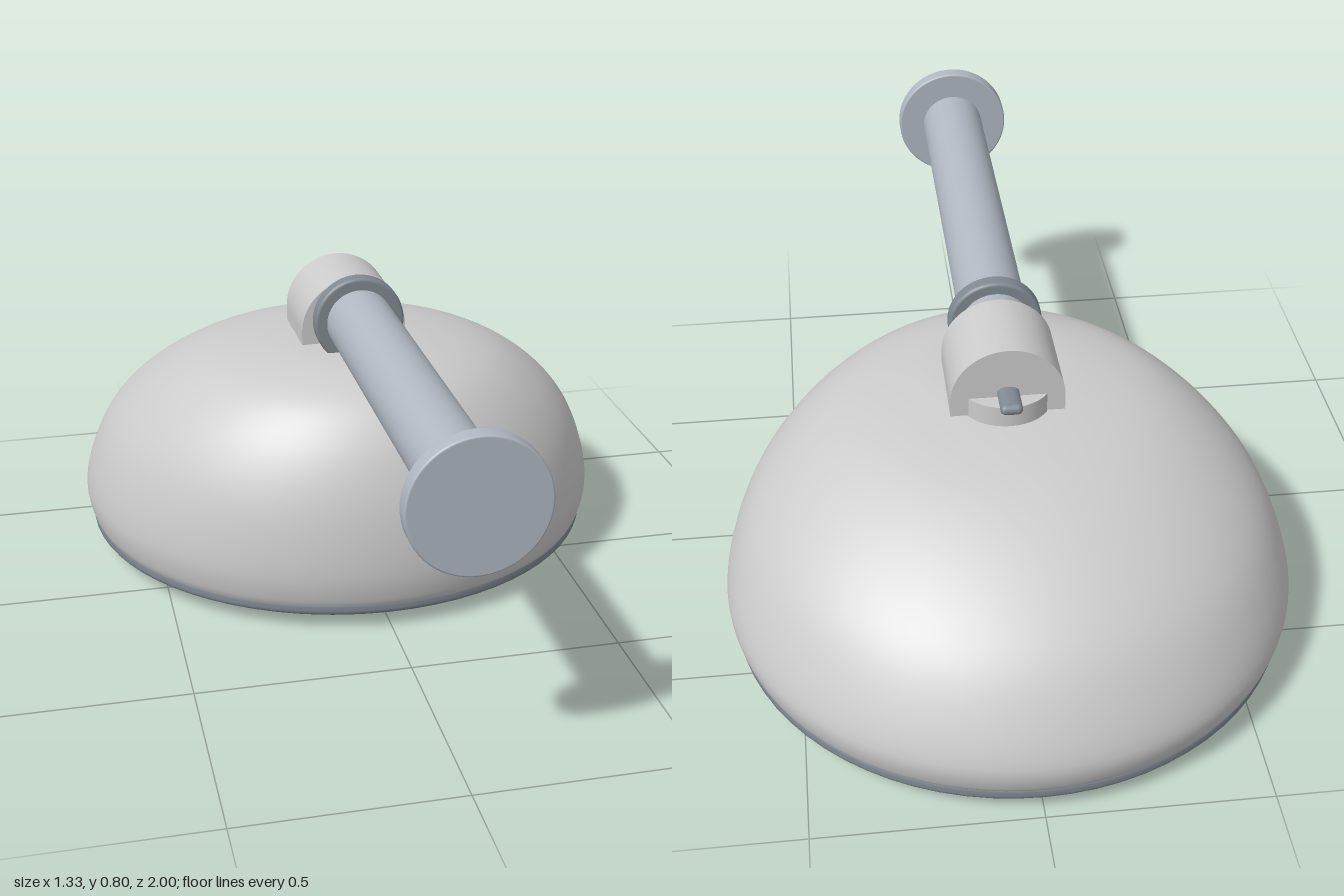
import * as THREE from 'three';
import { mergeVertices } from 'three/addons/utils/BufferGeometryUtils.js';

const HEAD_Z = -0.335; // centre of the spray face
const PIPE_Y = 0.648;  // axis of the arm

const mat = (color) => new THREE.MeshStandardMaterial({ color });
const shell = mat(0xcccccc);
const steel = mat(0xb0b8c2);
const darkSteel = mat(0x808a92);
const rubber = mat(0x50555a);

export function createModel() {
  const model = new THREE.Group();

  const add = (name, geometry, material, x = 0, y = 0, z = 0) => {
    const mesh = new THREE.Mesh(geometry, material);
    mesh.name = name;
    mesh.position.set(x, y, z);
    model.add(mesh);
    return mesh;
  };

  // Solid of revolution with softened rims, along y or along z
  const disc = (name, r, from, to, bevel, material, alongZ = false) => {
    const h = to - from;
    const pts = [new THREE.Vector2(0, 0)];
    for (let i = 0; i <= 4; i++) {
      const a = (i / 4) * Math.PI / 2;
      pts.push(new THREE.Vector2(r - bevel + bevel * Math.sin(a), bevel - bevel * Math.cos(a)));
    }
    for (let i = 0; i <= 4; i++) {
      const a = (i / 4) * Math.PI / 2;
      pts.push(new THREE.Vector2(r - bevel + bevel * Math.cos(a), h - bevel + bevel * Math.sin(a)));
    }
    pts.push(new THREE.Vector2(0, h));
    const g = new THREE.LatheGeometry(pts, 72);
    if (alongZ) g.rotateX(Math.PI / 2);
    return alongZ ? add(name, g, material, 0, PIPE_Y, from) : add(name, g, material, 0, from, HEAD_Z);
  };

  // Dome: circular sections (radius, height, centre z) leaning towards the arm
  const sections = new THREE.CatmullRomCurve3([
    [0.645, 0.06, -0.333], [0.655, 0.08, -0.335], [0.664, 0.14, -0.335], [0.636, 0.25, -0.315],
    [0.585, 0.35, -0.288], [0.49, 0.45, -0.24], [0.365, 0.527, -0.185],
    [0.19, 0.568, -0.12], [0.08, 0.574, -0.1], [0, 0.575, -0.09],
  ].map((p) => new THREE.Vector3(...p))).getPoints(48);
  let dome = new THREE.LatheGeometry(sections.map((p) => new THREE.Vector2(Math.max(p.x, 0), p.y)), 96);
  const pos = dome.attributes.position;
  for (let i = 0; i < pos.count; i++) pos.setZ(i, pos.getZ(i) + sections[i % sections.length].z);
  dome.deleteAttribute('uv');
  dome.deleteAttribute('normal');
  dome = mergeVertices(dome, 1e-5);
  dome.computeVertexNormals();
  add('dome', dome, shell);

  // Rim and spray plate
  disc('rim', 0.65, 0.038, 0.076, 0.014, darkSteel);
  disc('sprayPlate', 0.617, 0.025, 0.05, 0.002, shell);

  // Nozzles in concentric rings
  const nozzle = new THREE.SphereGeometry(0.016, 12, 8).scale(1, 0.3, 1);
  [[0.12, 6], [0.235, 12], [0.35, 18], [0.46, 24], [0.565, 28]].forEach(([r, n]) => {
    for (let i = 0; i < n; i++) {
      const a = (i / n) * Math.PI * 2;
      add('nozzle', nozzle, rubber, r * Math.cos(a), 0.005, HEAD_Z + r * Math.sin(a));
    }
  });

  // Three plate screws
  const screw = new THREE.SphereGeometry(0.018, 16, 8).scale(1, 0.4, 1);
  for (let i = 0; i < 3; i++) {
    const a = (i / 3) * Math.PI * 2;
    add('plateScrew', screw, rubber, 0.58 * Math.cos(a), 0.023, HEAD_Z + 0.58 * Math.sin(a));
  }

  // Arm with wall flange, collar and neck
  disc('wallFlange', 0.148, 0.96, 1, 0.005, steel, true);
  disc('arm', 0.081, -0.08, 0.965, 0.001, steel, true);
  disc('collar', 0.11, -0.08, -0.04, 0.008, darkSteel, true);
  disc('neck', 0.083, -0.12, -0.07, 0.001, steel, true);

  // Arched joint block: straight sides, round top
  const arch = new THREE.Shape();
  arch.moveTo(-0.13, 0.568);
  arch.lineTo(0.13, 0.568);
  arch.lineTo(0.13, 0.605);
  arch.absarc(0, 0.605, 0.13, 0, Math.PI, false);
  arch.closePath();
  add('jointBlock', new THREE.ExtrudeGeometry(arch, { depth: 0.21, bevelEnabled: false, curveSegments: 32 }),
    shell, 0, 0, -0.32);

  // Swivel disc and lever behind the block
  add('swivelDisc', new THREE.CylinderGeometry(0.11, 0.11, 0.05, 40), shell, 0, 0.588, -0.255);
  const lever = new THREE.CapsuleGeometry(0.013, 0.025, 6, 16).rotateZ(Math.PI / 2);
  const leverBar = new THREE.Shape();
  leverBar.absellipse(0, 0, 0.025, 0.014, 0, Math.PI * 2, false, 0);
  add('lever', new THREE.ExtrudeGeometry(leverBar, {
    depth: 0.085, bevelEnabled: false, curveSegments: 16 }), darkSteel, 0, 0.625, -0.385);
  add('leverTip', lever, darkSteel, 0, 0.625, -0.385);

  return model;
}
